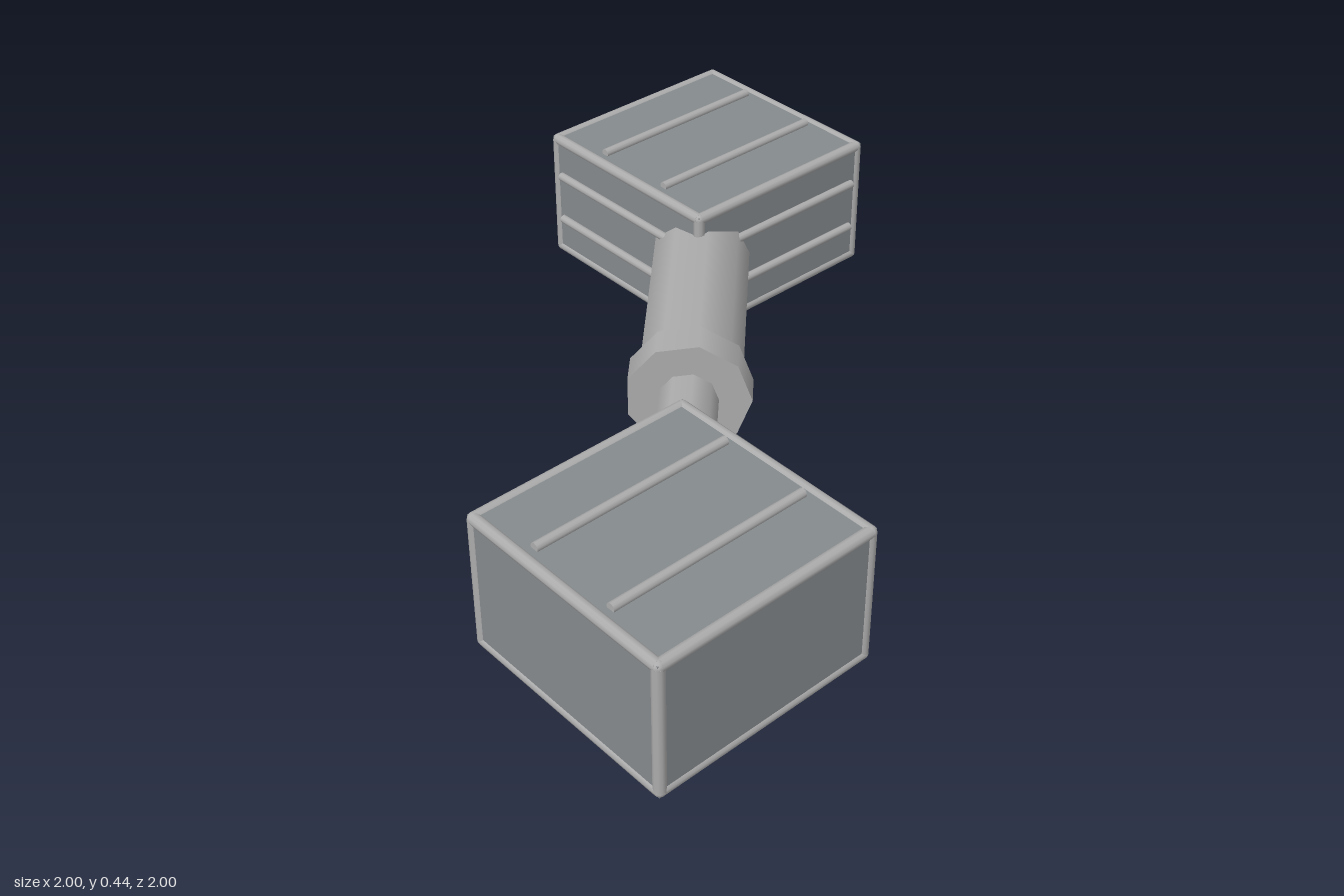
import * as THREE from 'three';

const SIZE = 0.693, HEIGHT = 0.423, MID_Y = HEIGHT / 2, CENTER = 0.6535;

export function createModel() {
  const model = new THREE.Group();
  const blockGrey = new THREE.MeshStandardMaterial({ color: 0x858a8d });
  blockGrey.name = 'block grey';
  const steel = new THREE.MeshStandardMaterial({ color: 0xacacac });
  steel.name = 'light steel';

  const add = (parent, name, geometry, material, x = 0, y = 0, z = 0) => {
    const mesh = new THREE.Mesh(geometry, material);
    mesh.name = name;
    mesh.position.set(x, y, z);
    parent.add(mesh);
    return mesh;
  };

  // Round bar lying along one axis
  const bar = (parent, name, axis, length, radius, x, y, z) => {
    const mesh = add(parent, name, new THREE.CylinderGeometry(radius, radius, length, 10), steel, x, y, z);
    if (axis === 'x') mesh.rotation.z = Math.PI / 2;
    if (axis === 'z') mesh.rotation.x = Math.PI / 2;
  };

  // Block with beaded edges, and ribs on its top and its two inner (+x, +z) sides
  const makeBlock = (name) => {
    const block = new THREE.Group();
    block.name = name;
    const inset = 0.012;
    add(block, 'blockBody', new THREE.BoxGeometry(SIZE - inset, HEIGHT - inset, SIZE - inset), blockGrey);

    const r = 0.017, w = SIZE / 2 - r, h = HEIGHT / 2 - r;
    for (const a of [-1, 1]) {
      for (const b of [-1, 1]) {
        bar(block, 'edgeBead', 'x', 2 * w, r, 0, a * h, b * w);
        bar(block, 'edgeBead', 'y', 2 * h, r, a * w, 0, b * w);
        bar(block, 'edgeBead', 'z', 2 * w, r, a * w, b * h, 0);
        for (const c of [-1, 1]) {
          add(block, 'cornerBead', new THREE.SphereGeometry(r, 10, 8), steel, a * w, b * h, c * w);
        }
      }
    }

    const rib = 0.0135, length = 0.6;
    for (const s of [-1, 1]) {
      bar(block, 'topRib', 'z', length, rib, s * 0.136, HEIGHT / 2, 0);
      bar(block, 'sideRib', 'z', length, rib, SIZE / 2, s * 0.078, 0);
      bar(block, 'frontRib', 'x', length, rib, 0, s * 0.078, SIZE / 2);
    }
    return block;
  };

  const backBlock = makeBlock('backBlock');
  backBlock.position.set(-CENTER, MID_Y, -CENTER);
  const frontBlock = makeBlock('frontBlock');
  frontBlock.position.set(CENTER, MID_Y, CENTER);
  frontBlock.rotation.y = Math.PI;
  model.add(backBlock, frontBlock);

  // Piston on the diagonal: local y runs from the back block to the front block
  const piston = new THREE.Group();
  piston.name = 'piston';
  const d = Math.SQRT1_2;
  piston.quaternion.setFromRotationMatrix(new THREE.Matrix4().makeBasis(
    new THREE.Vector3(0, 1, 0), new THREE.Vector3(d, 0, d), new THREE.Vector3(d, 0, -d)));
  piston.position.y = 0.214;
  const section = (name, radius, from, to) =>
    add(piston, name, new THREE.CylinderGeometry(radius, radius, to - from, 9), steel, 0, (from + to) / 2, 0);
  section('barrel', 0.147, -0.75, 0.09);
  section('collar', 0.176, 0.07, 0.168);
  section('rod', 0.084, 0.1, 0.65);
  model.add(piston);

  return model;
}
